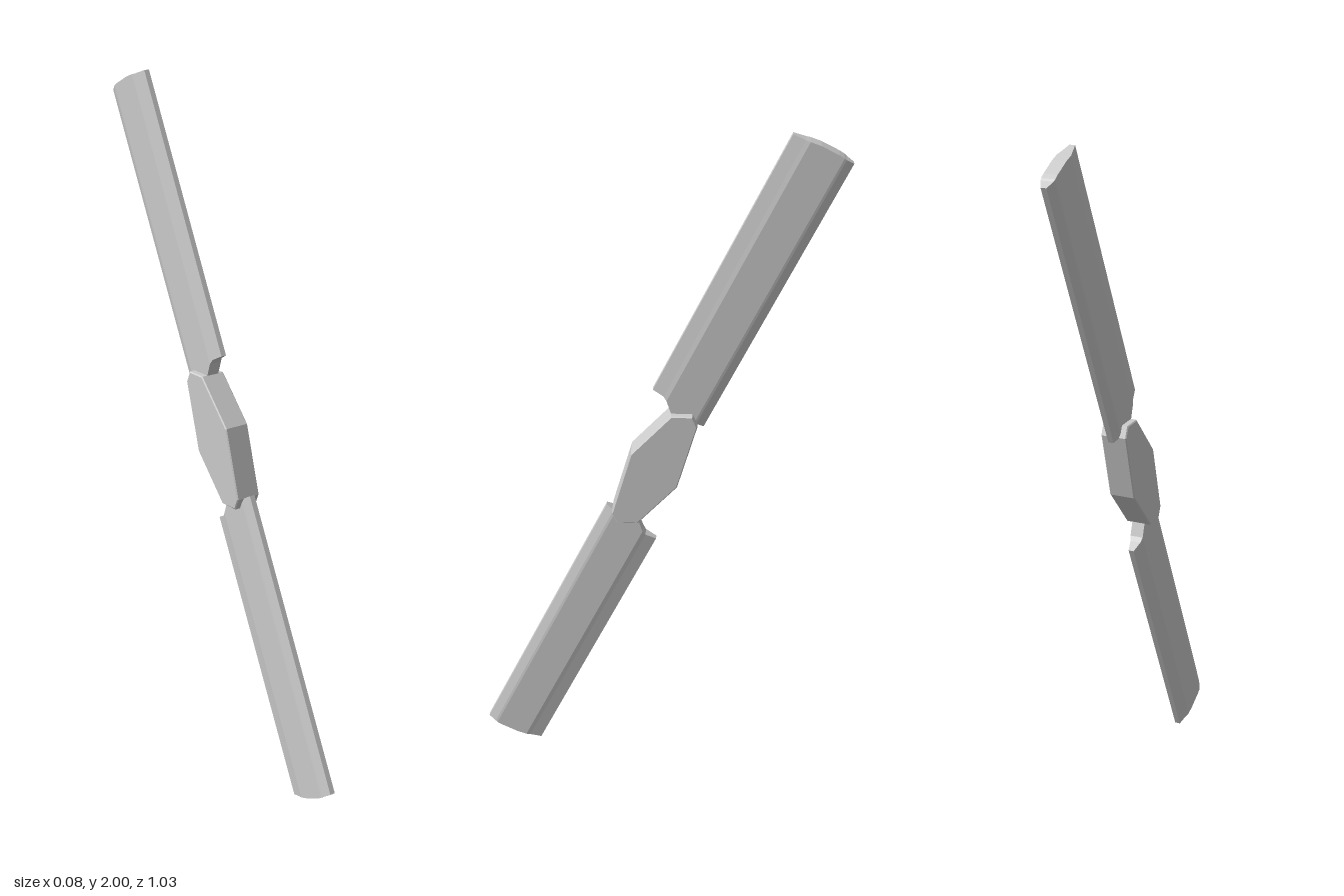
import * as THREE from 'three';

const material = new THREE.MeshStandardMaterial({ color: 0xcccccc, flatShading: true });

// Blade slices across its width: [across, root, tip, half thickness]
const SLICES = [
  [0.111, 0.220, 1.055, 0.008],
  [0.076, 0.218, 1.058, 0.016],
  [0.063, 0.210, 1.060, 0.0195],
  [0.034, 0.180, 1.063, 0.0195],
  [0.030, 0.120, 1.063, 0.0195],
  [-0.018, 0.120, 1.062, 0.0195],
  [-0.020, 0.200, 1.062, 0.0195],
  [-0.036, 0.190, 1.060, 0.0195],
  [-0.043, 0.183, 1.058, 0.018],
  [-0.067, 0.181, 1.055, 0.008],
];

// Lofts four-cornered slices into a closed faceted solid
function bladeGeometry() {
  const rings = SLICES.map(([z, root, tip, h]) => [
    [h, root, z], [h, tip, z], [-h, tip, z], [-h, root, z],
  ]);
  const positions = [];
  const quad = (a, b, c, d) => positions.push(...a, ...b, ...c, ...a, ...c, ...d);
  for (let i = 0; i < rings.length - 1; i++) {
    const p = rings[i], q = rings[i + 1];
    for (let k = 0; k < 4; k++) {
      const n = (k + 1) % 4;
      quad(p[k], q[k], q[n], p[n]);
    }
  }
  const first = rings[0], last = rings[rings.length - 1];
  quad(first[0], first[1], first[2], first[3]);
  quad(last[3], last[2], last[1], last[0]);
  const geometry = new THREE.BufferGeometry();
  geometry.setAttribute('position', new THREE.Float32BufferAttribute(positions, 3));
  geometry.computeVertexNormals();
  return geometry;
}

// Hub outline in side view, one half repeated by a half turn
function hubGeometry() {
  const half = [[0.066, 0.053], [-0.048, 0.178], [-0.108, 0.178], [-0.122, 0.145]];
  const outline = [...half, ...half.map(([z, y]) => [-z, -y])];
  const shape = new THREE.Shape(outline.map(([z, y]) => new THREE.Vector2(z, y)));
  const bevel = 0.003, width = 0.077;
  const geometry = new THREE.ExtrudeGeometry(shape, {
    depth: width - 2 * bevel,
    bevelThickness: bevel, bevelSize: bevel, bevelOffset: -bevel, bevelSegments: 1,
  });
  geometry.translate(0, 0, -(width / 2 - bevel));
  geometry.rotateY(-Math.PI / 2);
  return geometry;
}

export function createModel() {
  const model = new THREE.Group();
  model.name = 'propeller';

  const hub = new THREE.Mesh(hubGeometry(), material);
  hub.name = 'hub';
  hub.position.y = 1;
  model.add(hub);

  // Two opposite blades, tilted backwards at the top
  const blade = bladeGeometry();
  ['upperBlade', 'lowerBlade'].forEach((name, i) => {
    const mesh = new THREE.Mesh(blade, material);
    mesh.name = name;
    mesh.position.y = 1;
    mesh.rotation.x = -0.448 + i * Math.PI;
    model.add(mesh);
  });
  return model;
}
